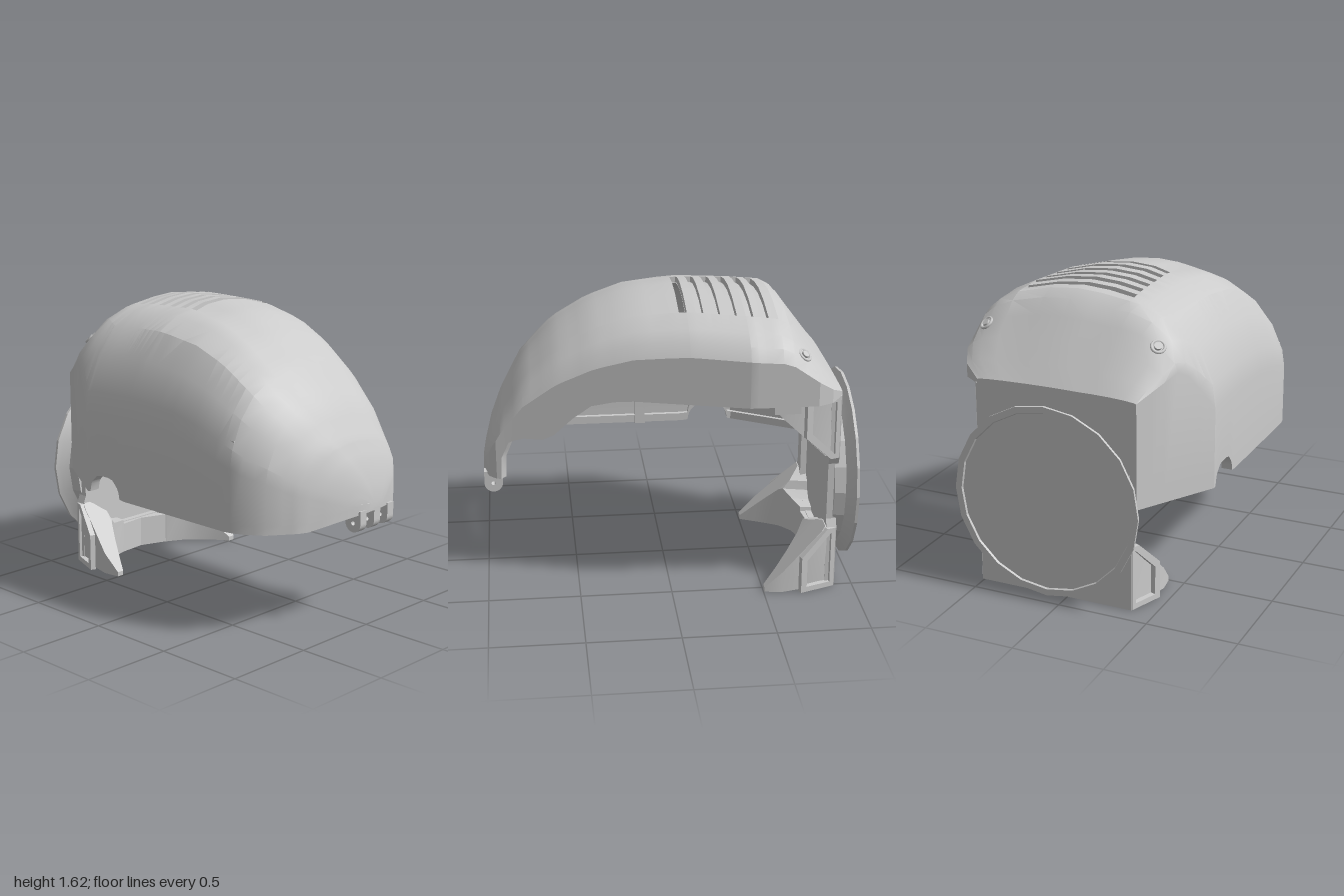
import * as THREE from 'three';
import { toCreasedNormals } from 'three/addons/utils/BufferGeometryUtils.js';

const material = new THREE.MeshStandardMaterial({ color: 0xcccccc, side: THREE.DoubleSide });
const CX = 0.07, CY = 0.565; // axis of the round flange

// linear lookup in a [position, value] table
function lookup(table, z) {
  if (z <= table[0][0]) return table[0][1];
  for (let i = 1; i < table.length; i++) {
    const [a, va] = table[i - 1], [b, vb] = table[i];
    if (z <= b) return va + (vb - va) * (z - a) / (b - a);
  }
  return table[table.length - 1][1];
}

// hood: roof height, side walls and right-hand cut line along z
const ROOF = [[-0.9, 1.16], [-0.75, 1.37], [-0.62, 1.55], [-0.56, 1.59], [-0.4, 1.61], [-0.1, 1.62], [0, 1.61], [0.2, 1.58],
  [0.4, 1.5], [0.6, 1.37], [0.78, 1.19], [0.9, 0.99], [0.95, 0.88], [0.985, 0.76], [1, 0.68]];
const LEFT = [[-0.9, -0.4], [-0.47, -0.65], [0.6, -0.65], [0.68, -0.62], [0.78, -0.55], [0.88, -0.41], [0.95, -0.23], [0.985, -0.08], [1, 0]];
const RIGHT = [[-0.9, 0.5], [-0.83, 0.6], [-0.75, 0.64], [-0.4, 0.64], [0.85, 0.3], [0.93, 0.28], [0.97, 0.24], [0.985, 0.19], [1, 0.12]];
const CUT = [[0.2, 1.12], [0.3, 1.11], [0.42, 1.08], [0.52, 1.0], [0.62, 0.9], [0.68, 0.87], [0.8, 0.87], [0.86, 0.84], [0.9, 0.75], [0.905, 0.625]];
const BASE = [[0.9, 0.57], [0.96, 0.6], [1, 0.62]];
// drop of the roof below its crown, across the width
const CROWN = [[0, 0.6], [0.015, 0.47], [0.08, 0.275], [0.17, 0.13], [0.27, 0.06], [0.344, 0.035], [0.346, 0.035], [0.44, 0.01],
  [0.55, 0], [0.68, 0.015], [0.829, 0.06], [0.831, 0.06], [0.92, 0.115], [0.97, 0.17], [1, 0.24]];
const SLOTS = [-0.07, -0.155, -0.24, -0.325, -0.41, -0.49];
const inSlot = (z) => SLOTS.findIndex((c) => Math.abs(z - c) < 0.0185);

function roofDrop(z, u) {
  const h = lookup(ROOF, z);
  const s = z < -0.5 ? (h - 1.13) / 0.48 : (h - 0.57) / 1.05;
  const rearLeft = u < 0.3 ? 1 - 0.5 * THREE.MathUtils.clamp((-0.47 - z) / 0.2, 0, 1) : 1; // squarer rear corner
  return lookup(CROWN, u) * Math.min(1, s) * rearLeft;
}

// one cross-section from the left rim, with an optional inward lip, over the roof to the right rim
function section(z, inset, zOut, { grooved = false, floor = 0, lip = 0 }) {
  const xl = lookup(LEFT, z) + inset, xr = lookup(RIGHT, z) - inset;
  const h = lookup(ROOF, z) - inset, cut = lookup(CUT, z);
  const notch = Math.sqrt(Math.max(0, 0.0144 - (z + 0.33) ** 2));
  const base = Math.max(floor, lookup(BASE, z) + Math.min(notch, 0.11));
  const pts = CROWN.map(([u]) => {
    const slotEnd = Math.abs(u - 0.345) < 0.002 && z > -0.6 && z < 0.05; // slots start on one straight line
    const groove = grooved && inSlot(z) >= 0 && u > 0.345 && u < 0.83 ? 0.032 : 0;
    const y = h - roofDrop(z, u) - groove;
    return [slotEnd ? -0.21 + u - 0.345 : xl + (xr - xl) * u, Math.max(y, u < 0.5 ? base + 0.045 : cut), zOut];
  });
  return [[xl + lip, base, zOut], [xl + lip, base + 0.045, zOut], [xl, base + 0.045, zOut], ...pts, [xr, cut, zOut]];
}

// double-walled strip of sections, with rims; a closed front for the hood
function shell(zs, outerInset, innerInset, isHood, floor = 0) {
  const t = innerInset - outerInset;
  const O = zs.map((z) => section(z, outerInset, z, { grooved: isHood, floor }));
  const N = zs.map((z) => section(z, innerInset, isHood ? z - t * THREE.MathUtils.clamp((z - 0.6) / 0.4, 0, 1) : z,
    { floor, lip: isHood ? 0.025 : 0 }));
  const pos = [];
  const tri = (...p) => p.forEach((v) => pos.push(...v));
  const quad = (a, b, c, d) => { tri(a, b, c); tri(a, c, d); };
  const L = O[0].length - 1, E = zs.length - 1;
  for (let i = 0; i < E; i++) {
    const through = isHood && inSlot(zs[i]) === 0 && inSlot(zs[i + 1]) === 0; // the front vent is open
    for (let j = 0; j < L; j++) {
      if (through && j >= 9 && j < 13) continue;
      quad(O[i][j], O[i + 1][j], O[i + 1][j + 1], O[i][j + 1]);
      quad(N[i][j], N[i][j + 1], N[i + 1][j + 1], N[i + 1][j]);
    }
    quad(O[i][0], N[i][0], N[i + 1][0], O[i + 1][0]);
    quad(O[i][L], O[i + 1][L], N[i + 1][L], N[i][L]);
  }
  for (let j = 0; j < L; j++) {
    quad(O[0][j], O[0][j + 1], N[0][j + 1], N[0][j]);
    if (!isHood) quad(O[E][j], N[E][j], N[E][j + 1], O[E][j + 1]);
    else {
      tri(O[E][0], O[E][j + 1], O[E][j]);
      tri(N[E][0], N[E][j], N[E][j + 1]);
    }
  }
  if (isHood) quad(O[E][0], N[E][0], N[E][L], O[E][L]);
  return finish(pos);
}

function finish(pos) {
  const g = new THREE.BufferGeometry();
  g.setAttribute('position', new THREE.Float32BufferAttribute(pos, 3));
  return toCreasedNormals(g, 0.4);
}

function add(parent, name, geometry) {
  const mesh = new THREE.Mesh(geometry, material);
  mesh.name = name;
  parent.add(mesh);
  return mesh;
}

const polygon = (pts) => new THREE.Shape(pts.map(([x, y]) => new THREE.Vector2(x, y)));

// extrudes a (z, y) shape along x from x0
function extrudeX(shape, x0, width) {
  const g = new THREE.ExtrudeGeometry(shape, { depth: width, bevelEnabled: false, curveSegments: 10 });
  return g.rotateY(-Math.PI / 2).translate(x0 + width, 0, 0);
}

// curved block with two pointed arms, lofted along x and narrowing to the back
function armBlock() {
  // [x, front z, highest y]
  const stations = [[-0.424, -0.6, 0.34], [-0.41, -0.505, 0.36], [-0.37, -0.505, 0.36], [-0.33, -0.59, 0.34], [-0.3, -0.65, 0.32],
    [-0.265, -0.72, 0.3], [-0.25, -0.74, 0.25], [-0.2, -0.785, 0.21], [-0.1, -0.815, 0.2], [-0.095, -0.815, 0.175], [0.07, -0.83, 0.175],
    [0.235, -0.775, 0.175], [0.24, -0.77, 0.28], [0.33, -0.72, 0.31], [0.4, -0.65, 0.34], [0.46, -0.58, 0.36], [0.51, -0.505, 0.36],
    [0.55, -0.505, 0.36], [0.564, -0.6, 0.34]];
  const rings = stations.map(([x, zf, hMax]) => {
    const slope = (z) => Math.min(hMax, -0.48 - z);
    const point = (y, z) => [CX + (x - CX) * THREE.MathUtils.mapLinear(Math.min(z, -0.7), -0.89, -0.7, 0.86, 1), y, z];
    const zk = Math.min(-0.48 - hMax, zf);
    return [point(0, -0.89), point(0, zf), point(Math.max(0.015, slope(zf)), zf), point(slope(zk), zk), point(hMax, -0.89)];
  });
  const pos = [];
  const tri = (...p) => p.forEach((v) => pos.push(...v));
  for (let i = 0; i + 1 < rings.length; i++) {
    for (let j = 0; j < 5; j++) {
      const k = (j + 1) % 5, a = rings[i], b = rings[i + 1];
      tri(a[j], b[j], b[k]);
      tri(a[j], b[k], a[k]);
    }
  }
  const first = rings[0], last = rings[rings.length - 1];
  for (let j = 1; j < 4; j++) {
    tri(first[0], first[j], first[j + 1]);
    tri(last[0], last[j + 1], last[j]);
  }
  return finish(pos);
}

export function createModel() {
  const model = new THREE.Group();
  model.name = 'hingedHood';

  // hood shell with vent slots and the notch in its left rim
  const zs = [-0.9, -0.83, -0.75, -0.68, -0.62, -0.56, -0.2101, -0.215, -0.23, -0.27, -0.3, -0.36, -0.39, -0.44, -0.4499,
    0, 0.1, 0.2, 0.3, 0.36, 0.42, 0.47, 0.52, 0.57, 0.62, 0.68, 0.73, 0.78, 0.83, 0.86, 0.88, 0.9, 0.905, 0.93, 0.95, 0.97, 0.985, 1];
  SLOTS.forEach((c) => zs.push(c - 0.02, c - 0.018, c + 0.018, c + 0.02));
  zs.sort((a, b) => a - b);
  add(model, 'hoodShell', shell(zs, 0, 0.035, true));

  // stiffening ribs inside the hood
  add(model, 'wallRib', shell([0.05, 0.11], 0.03, 0.08, false));
  add(model, 'roofRib', shell([0.56, 0.62], 0.03, 0.08, false, 1));
  const ribZ = [0.6, 0.7, 0.78, 0.85, 0.9, 0.93];
  const ribEdge = (inset) => ribZ.map((z) => [z, lookup(ROOF, z) - inset]);
  const frontRib = polygon([...ribEdge(0.03), [0.955, 0.65], [0.91, 0.65], ...ribEdge(0.1).reverse()]);
  add(model, 'frontRib', extrudeX(frontRib, 0.06, 0.04));

  // hinge lugs at the front rim
  for (const x of [-0.067, 0.045, 0.155]) {
    const lug = polygon([[0.9, 0.635], [0.9, 0.565]]);
    lug.absarc(0.95, 0.565, 0.05, Math.PI, 2 * Math.PI, false);
    lug.lineTo(1, 0.635);
    lug.holes.push(new THREE.Path().absarc(0.95, 0.565, 0.012, 0, 2 * Math.PI, true));
    add(model, 'hingeLug', extrudeX(lug, x, 0.05));
  }

  // screw seats on the rear corners
  for (const [x, side] of [[-0.42, -1], [0.56, 1]]) {
    const z = -0.68, xl = lookup(LEFT, z);
    const u = (x - xl) / (lookup(RIGHT, z) - xl);
    const seat = new THREE.Group();
    seat.name = 'screwSeat';
    seat.position.set(x, lookup(ROOF, z) - roofDrop(z, u), z);
    seat.quaternion.setFromUnitVectors(new THREE.Vector3(0, 0, 1), new THREE.Vector3(side * 0.4, 0.75, -0.55).normalize());
    add(seat, 'screwRing', new THREE.TorusGeometry(0.034, 0.008, 8, 20));
    add(seat, 'screwHead', new THREE.CylinderGeometry(0.02, 0.02, 0.02, 16).rotateX(Math.PI / 2));
    model.add(seat);
  }

  // mounting plate, waisted at the sides, with a recess that is round on one side
  const right = [[0.44, 0], [0.44, 0.35], [0.42, 0.4], [0.42, 0.725], [0.44, 0.775], [0.44, 1.125]];
  const plate = polygon([...right.map(([x, y]) => [CX + x, y]), ...right.slice().reverse().map(([x, y]) => [CX - x, y])]);
  const recess = new THREE.Path().absarc(CX, CY, 0.335, -1.04, Math.PI, false);
  [[-0.265, 0.29], [-0.25, 0.245], [-0.2, 0.215], [-0.1, 0.2], [-0.1, 0.18], [0.235, 0.18]].forEach(([x, y]) => recess.lineTo(x, y));
  plate.holes.push(recess);
  add(model, 'mountingPlate', new THREE.ExtrudeGeometry(plate, { depth: 0.055, bevelEnabled: false, curveSegments: 24 }).translate(0, 0, -0.9));

  // arms with pocketed, flaring sides, mirrored above and below
  const arms = armBlock();
  const frame = polygon([[0, 0], [0.205, 0], [0.205, 0.21], [0.05, 0.355], [0, 0.355]]);
  frame.holes.push(polygon([[0.025, 0.03], [0.025, 0.33], [0.17, 0.19], [0.17, 0.03]]));
  for (const upper of [false, true]) {
    const bracket = new THREE.Group();
    bracket.name = upper ? 'upperBracket' : 'lowerBracket';
    add(bracket, 'armBlock', arms);
    for (const side of [-1, 1]) {
      const pocket = add(bracket, 'pocketFrame', extrudeX(frame, side > 0 ? -0.03 : 0, 0.03));
      pocket.position.set(CX + side * 0.445, 0, -0.895);
      pocket.rotation.y = side * 0.35;
    }
    if (upper) {
      bracket.scale.y = -1;
      bracket.position.y = 1.125;
    }
    model.add(bracket);
  }

  // round flange
  const rim = [[0, -0.99], [0.485, -0.99], [0.49, -1], [0.525, -1], [0.525, -0.985], [0.5, -0.97], [0.46, -0.94], [0.45, -0.88], [0, -0.88]];
  const flange = new THREE.LatheGeometry(rim.map(([r, z]) => new THREE.Vector2(r, z)), 20).rotateX(Math.PI / 2).translate(CX, CY, 0);
  add(model, 'flange', toCreasedNormals(flange, 0.25));

  // small clip under the right rim
  add(model, 'rimClip', new THREE.BoxGeometry(0.07, 0.05, 0.14).translate(0.59, 1.1, -0.59));

  return model;
}
